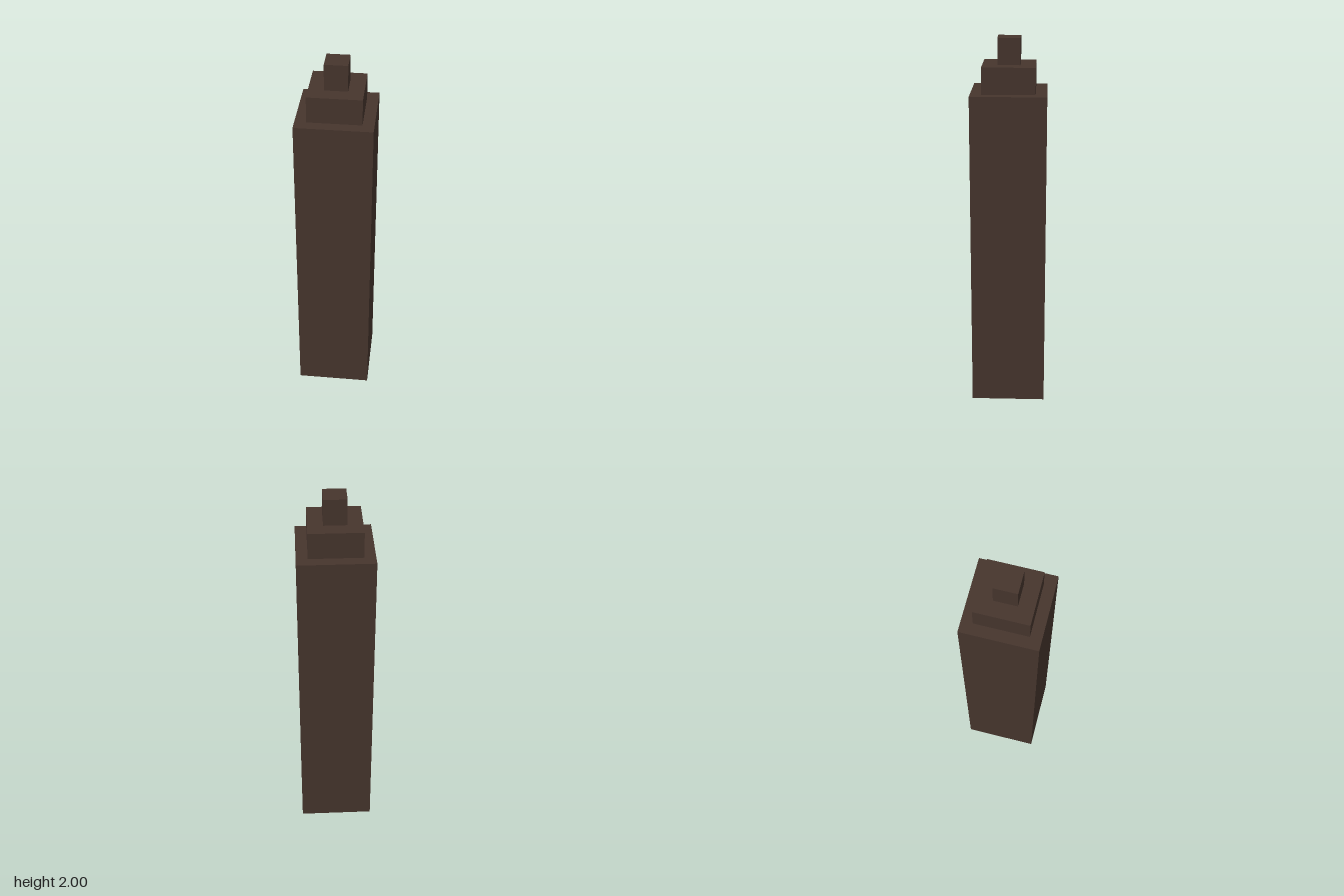
import * as THREE from 'three';

export function createModel() {
  const group = new THREE.Group();
  const brown = new THREE.MeshStandardMaterial({ color: 0x46352d, side: THREE.DoubleSide });
  brown.name = 'dark brown';

  // Square block standing on height y
  function block(name, width, y, height) {
    const geometry = new THREE.BoxGeometry(width, height, width);
    geometry.translate(0, y + height / 2, 0);
    const mesh = new THREE.Mesh(geometry, brown);
    mesh.name = name;
    group.add(mesh);
    return mesh;
  }

  // Tall body: its underside (the box's fourth face) is raised to leave an open recess
  const body = block('body', 0.4, 0, 1.72);
  const position = body.geometry.attributes.position;
  for (let i = 12; i < 16; i++) position.setY(i, 0.22);

  // Stepped top
  block('shoulder', 0.28, 1.72, 0.14);
  block('tip', 0.12, 1.86, 0.14);

  return group;
}
